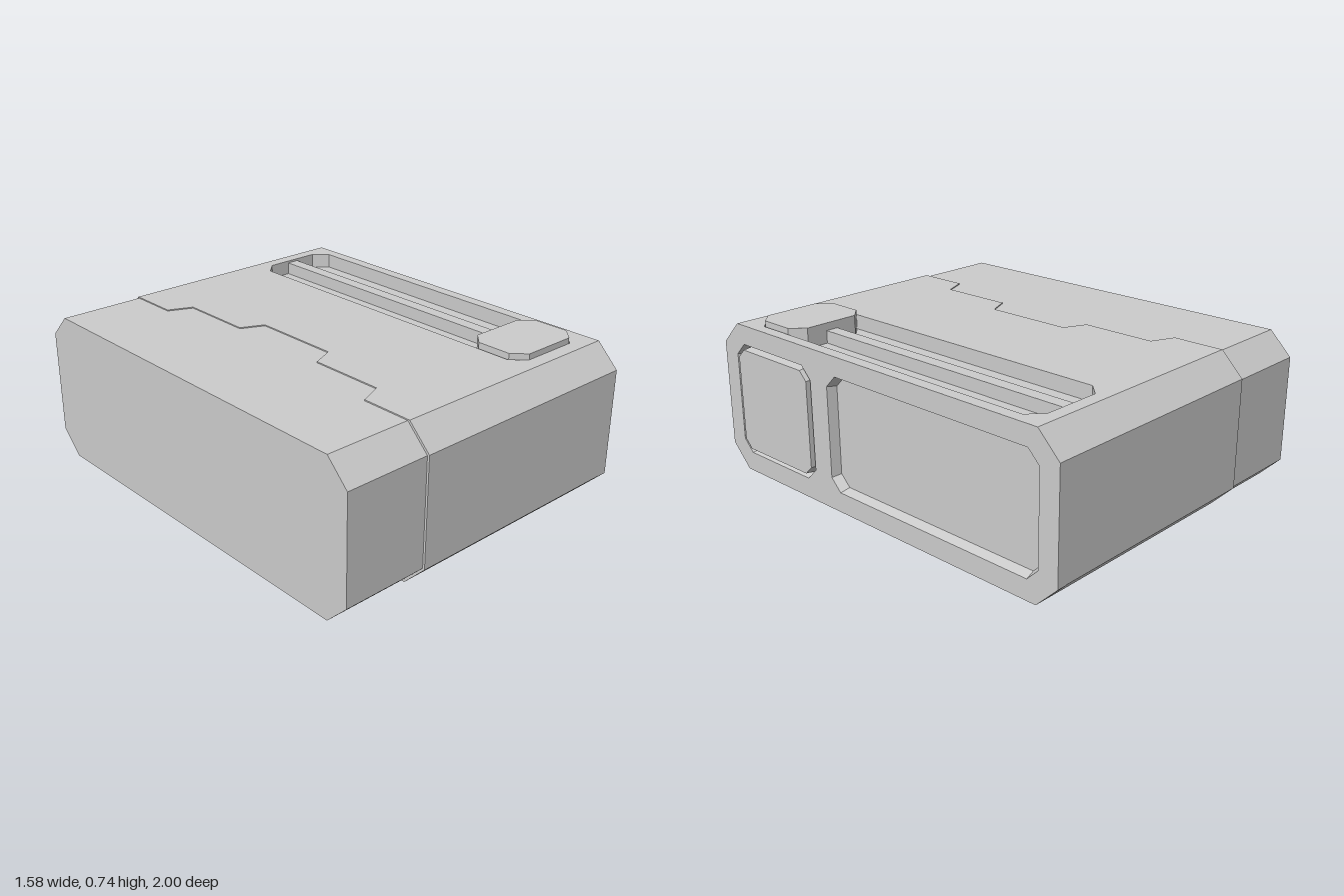
import * as THREE from 'three';

const mat = new THREE.MeshStandardMaterial({ color: 0xcccccc, flatShading: true, side: THREE.DoubleSide });

// Rectangle with cut corners, counterclockwise
function chamferRect(u0, u1, v0, v1, c) {
  return [[u0 + c, v0], [u1 - c, v0], [u1, v0 + c], [u1, v1 - c],
    [u1 - c, v1], [u0 + c, v1], [u0, v1 - c], [u0, v0 + c]].map(([u, v]) => new THREE.Vector2(u, v));
}

// Same, given z and y ranges on the side face (u = -z)
const sideRect = (z0, z1, y0, y1, c) => chamferRect(-z1, -z0, y0, y1, c);

function extrude(points, depth, holes = []) {
  const shape = new THREE.Shape(points);
  holes.forEach((h) => shape.holes.push(new THREE.Path(h)));
  return new THREE.ExtrudeGeometry(shape, { depth, bevelEnabled: false });
}

// Prism along x from a (-z, y) outline
const alongX = (points, x0, x1, holes) =>
  extrude(points, x1 - x0, holes).rotateY(Math.PI / 2).translate(x0, 0, 0);

// Prism along y from an (x, -z) outline
const alongY = (points, y0, y1, holes) =>
  extrude(points, y1 - y0, holes).rotateX(-Math.PI / 2).translate(0, y0, 0);

// Sloped walls from outline a (at xa) to outline b (at xb), closed by a cap at b
function slopedPanel(a, xa, b, xb) {
  const pos = [];
  const put = (p, x) => pos.push(x, p.y, -p.x);
  a.forEach((p, i) => {
    const j = (i + 1) % a.length;
    put(p, xa); put(a[j], xa); put(b[j], xb);
    put(p, xa); put(b[j], xb); put(b[i], xb);
  });
  for (let i = 1; i < b.length - 1; i++) {
    put(b[0], xb); put(b[i], xb); put(b[i + 1], xb);
  }
  const g = new THREE.BufferGeometry();
  g.setAttribute('position', new THREE.Float32BufferAttribute(pos, 3));
  g.computeVertexNormals();
  return g;
}

export function createModel() {
  const group = new THREE.Group();
  const add = (name, geometry) => {
    const m = new THREE.Mesh(geometry, mat);
    m.name = name;
    group.add(m);
  };

  // End block, whose stepped tongue shows through the main casing's edge
  add('endBlock', alongX(sideRect(-0.995, 0.99, 0.005, 0.705, 0.105), -0.79, 0));

  // Stepped plan outline of the main casing, mirrored about z = 0
  const step = [[-0.39, 0.895], [-0.39, 0.655], [-0.28, 0.608], [-0.28, 0.257], [-0.175, 0.21]];
  const plan = [[0.725, -0.895], [0.725, 0.895], ...step,
    ...step.map(([x, z]) => [x, -z]).reverse()].map(([x, v]) => new THREE.Vector2(x, v));
  const slot = chamferRect(0.32, 0.72, -0.83, 0.835, 0.062);
  add('topPlate', alongY(plan, 0.64, 0.71, [slot]));
  add('bottomPlate', alongY(plan, 0, 0.07));

  // Front and back walls with chamfered edges
  for (const [name, s] of [['frontWall', -1], ['backWall', 1]]) {
    const pts = [[0.895, 0], [1, 0.107], [1, 0.605], [0.895, 0.71]];
    add(name, alongX(pts.map(([u, y]) => new THREE.Vector2(u * s, y)), -0.39, 0.725));
  }

  // Side wall with two recesses
  const openings = [[0.385, 0.91], [-0.905, 0.275]];
  const rims = openings.map(([a, b]) => sideRect(a, b, 0.093, 0.62, 0.055));
  add('sideWall', alongX(sideRect(-1, 1, 0, 0.71, 0.105), 0.725, 0.775, rims));
  openings.forEach(([a, b], i) => {
    const t = 0.012;
    const inner = sideRect(a + t, b - t, 0.093 + t, 0.62 - t, 0.05);
    add(i ? 'longRecess' : 'buttonRecess', slopedPanel(rims[i], 0.775, inner, 0.73));
  });

  // Raised button in the short recess
  add('sideButton', slopedPanel(
    sideRect(0.398, 0.893, 0.11, 0.605, 0.047), 0.73,
    sideRect(0.403, 0.886, 0.118, 0.598, 0.04), 0.785));

  // Slot floor, centre rail and sliding knob
  add('slotFloor', alongY(slot, 0.63, 0.642));
  const rail = new THREE.BoxGeometry(0.06, 0.06, 1.45);
  add('slideRail', rail.translate(0.52, 0.67, -0.11));
  add('slideKnob', alongY(chamferRect(0.328, 0.714, -0.827, -0.543, 0.06), 0.642, 0.735));

  return group;
}
